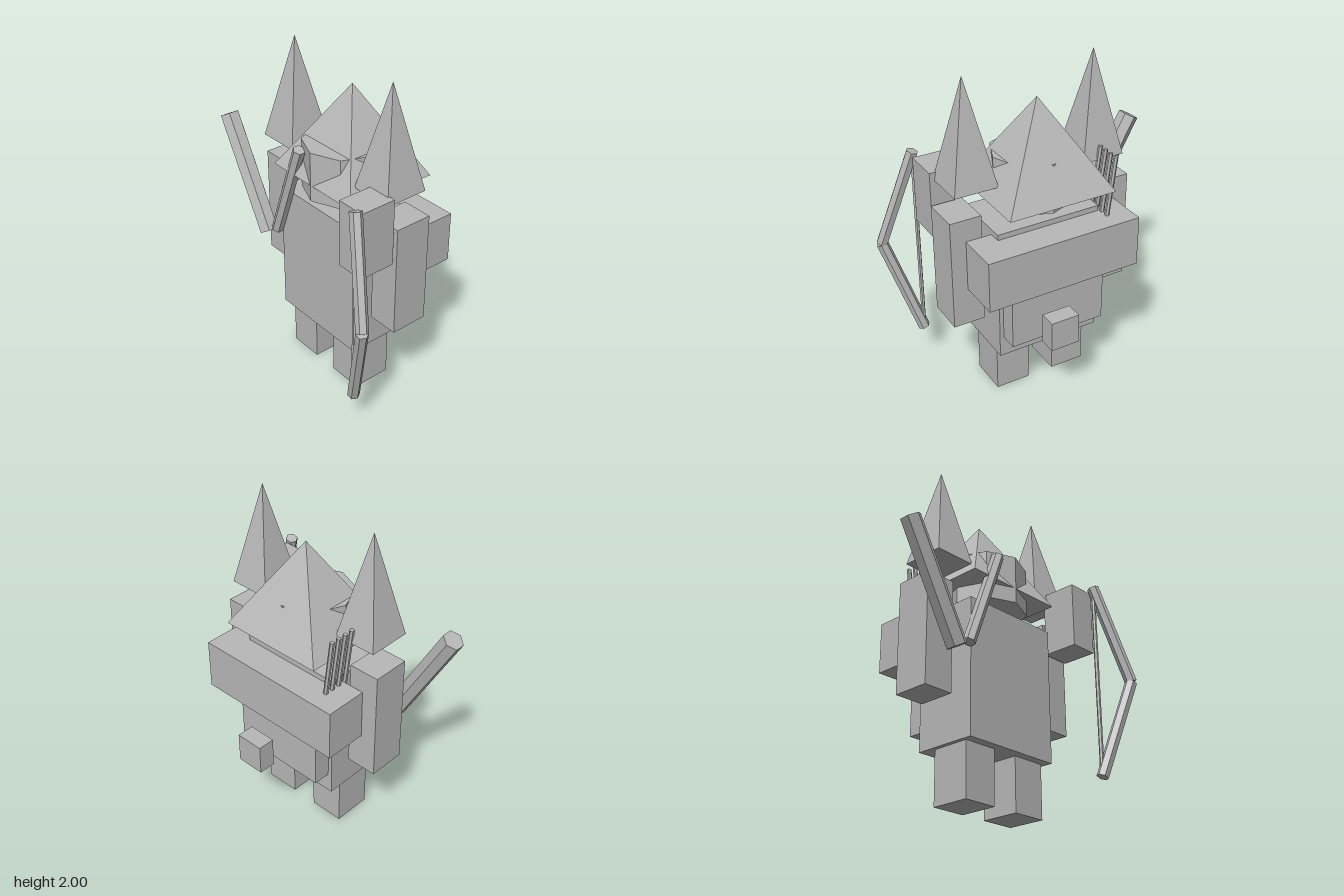
import * as THREE from 'three';

export function createModel() {
  const model = new THREE.Group();
  const grey = new THREE.MeshStandardMaterial({ color: 0xb8b8b8 });
  grey.name = 'plain grey';

  const add = (name, geometry, parent = model) => {
    const mesh = new THREE.Mesh(geometry.index ? geometry.toNonIndexed() : geometry, grey);
    mesh.geometry.computeVertexNormals(); // faceted look
    mesh.name = name;
    parent.add(mesh);
    return mesh;
  };

  // Box from its minimum and maximum corners
  const box = (name, [x0, y0, z0], [x1, y1, z1]) =>
    add(name, new THREE.BoxGeometry(x1 - x0, y1 - y0, z1 - z0)
      .translate((x0 + x1) / 2, (y0 + y1) / 2, (z0 + z1) / 2));

  // Four-sided spike, given its base centre, half sizes and height
  const pyramid = (name, [x, y, z], halfX, halfZ, height) =>
    add(name, new THREE.ConeGeometry(Math.SQRT2, height, 4)
      .rotateY(Math.PI / 4).scale(halfX, 1, halfZ).translate(x, y + height / 2, z));

  // Six-sided rod between two points
  const up = new THREE.Vector3(0, 1, 0);
  const rod = (name, from, to, radius, parent = model) => {
    const a = new THREE.Vector3(...from), b = new THREE.Vector3(...to);
    const dir = b.clone().sub(a);
    const mesh = add(name, new THREE.CylinderGeometry(radius, radius, dir.length(), 6), parent);
    mesh.position.copy(a).add(b).multiplyScalar(0.5);
    mesh.quaternion.setFromUnitVectors(up, dir.normalize());
    return mesh;
  };

  // Body and legs
  box('torso', [-0.285, 0.32, -0.22], [0.365, 1.14, 0.175]);
  box('rightLeg', [-0.26, 0, -0.12], [-0.045, 0.32, 0.12]);
  box('leftLeg', [0.12, 0, -0.12], [0.335, 0.32, 0.12]);

  // Arms, with the left forearm raised forward
  box('rightArm', [-0.535, 0.565, -0.14], [-0.345, 1.24, 0.09]);
  box('leftUpperArm', [0.42, 0.565, -0.14], [0.61, 1.24, 0.09]);
  box('leftForearm', [0.42, 1.03, 0.108], [0.6, 1.43, 0.33]);

  // Backpack: bedroll, pack and pouch
  box('bedroll', [-0.44, 0.8, -0.405], [0.52, 1.107, -0.145]);
  box('pack', [-0.26, 0.445, -0.327], [0.34, 0.85, -0.2]);
  box('pouch', [0.012, 0.475, -0.503], [0.188, 0.66, -0.398]);

  // Head, hat and shoulder spikes
  add('head', new THREE.CylinderGeometry(0.242, 0.242, 0.3, 8).translate(0.04, 1.355, -0.025));
  pyramid('hat', [0.038, 1.3, -0.081], 0.332, 0.294, 0.53);
  for (const [side, x] of [['right', -0.365], ['left', 0.44]])
    pyramid(side + 'ShoulderSpike', [x, 1.38, -0.003], 0.132, 0.134, 0.62);

  // Club and short rod held by the right hand
  rod('club', [-0.765, 1.435, 0.193], [-0.406, 0.788, 0.193], 0.061);
  rod('shortRod', [-0.087, 1.465, 0.193], [-0.316, 0.843, 0.193], 0.037);

  // Arrows standing in the pack
  for (let i = 0; i < 4; i++) {
    const z = -0.287 + i * 0.051;
    rod('arrow', [-0.28, 0.95, z], [-0.345, 1.465, z], 0.014);
  }

  // Bow, turned outward
  const bow = new THREE.Group();
  bow.name = 'bow';
  bow.position.set(0.586, 0.853, 0.36);
  bow.rotation.y = -Math.PI / 6;
  model.add(bow);
  for (const [name, s] of [['upperBowLimb', 1], ['lowerBowLimb', -1]])
    rod(name, [0.213, 0.002 * s, 0], [0, 0.602 * s, 0], 0.036, bow);
  rod('bowString', [0, -0.59, 0], [0, 0.59, 0], 0.013, bow);

  return model;
}
